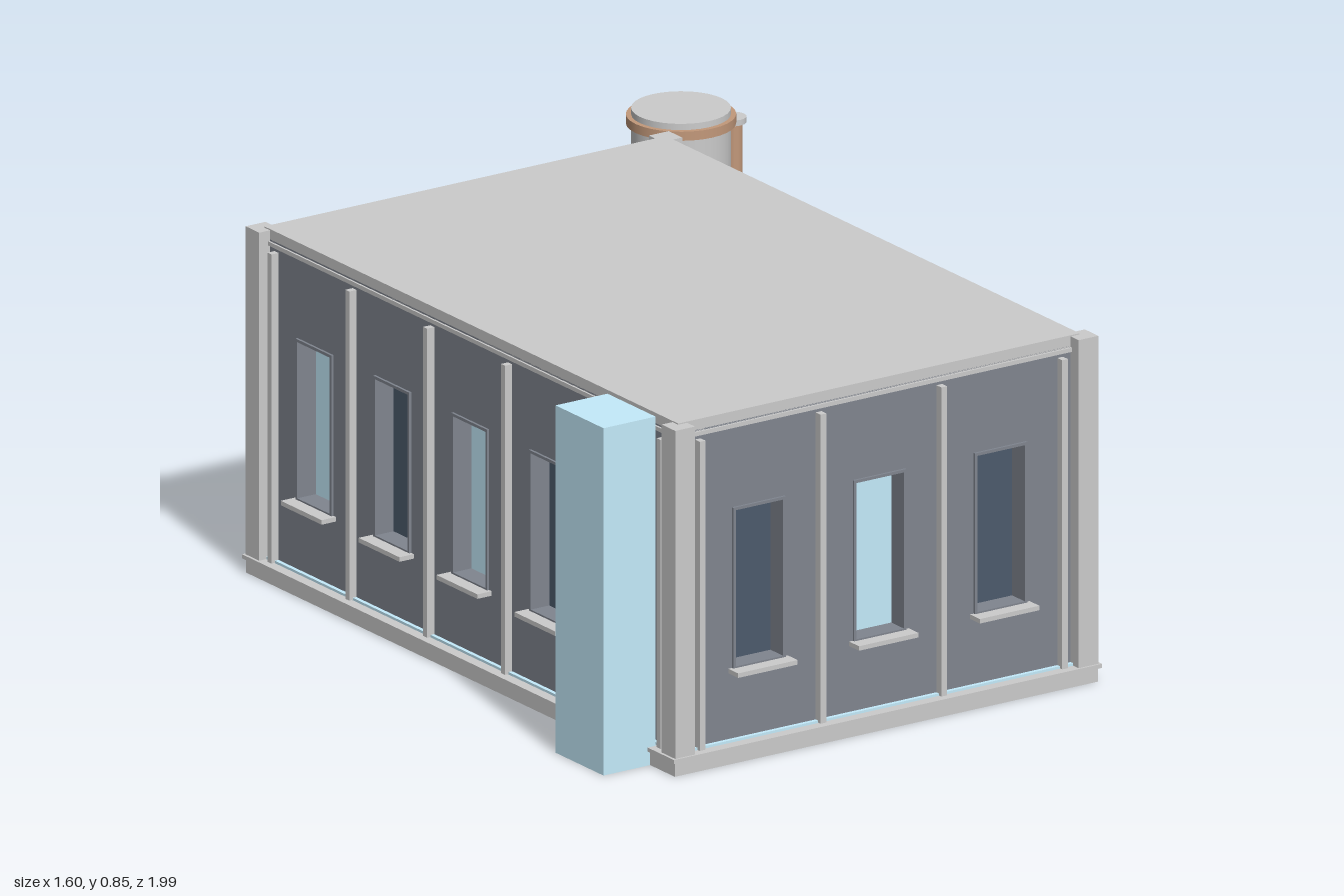
import * as THREE from 'three';

const mat = (color, extra = {}) => new THREE.MeshStandardMaterial({ color, ...extra });
const grey = mat(0xcccccc);
const wallGrey = mat(0x80858f);
const darkGlass = mat(0x4c5b6c);
const paleBlue = mat(0xc4ebfb);
const copper = mat(0xc2987a);

const CX = -0.08, CZ = 0.115;       // centre of the building
const HX = 0.56, HZ = 0.84;         // half sizes to the wall faces
const TOP = 0.845;

function add(parent, name, geo, material, x = 0, y = 0, z = 0) {
  const m = new THREE.Mesh(geo, material);
  m.name = name;
  m.position.set(x, y, z);
  parent.add(m);
  return m;
}

// Box given by its minimum and maximum corners
function block(parent, name, material, a, b) {
  const geo = new THREE.BoxGeometry(b[0] - a[0], b[1] - a[1], b[2] - a[2]);
  return add(parent, name, geo, material, (a[0] + b[0]) / 2, (a[1] + b[1]) / 2, (a[2] + b[2]) / 2);
}

function rect(type, x0, y0, x1, y1) {
  return new type([[x0, y0], [x1, y0], [x1, y1], [x0, y1]].map(p => new THREE.Vector2(...p)));
}

// One wall facing +z with its face at z = 0
function createWall(name, halfWidth, pitch, bays, firstPale) {
  const g = new THREE.Group();
  g.name = name;
  const wy0 = 0.225, wy1 = 0.605, ww = 0.066, depth = 0.05;
  const panel = rect(THREE.Shape, -halfWidth, 0.03, halfWidth, 0.82);

  for (let i = 0; i < bays; i++) {
    const x = (i - (bays - 1) / 2) * pitch;
    panel.holes.push(rect(THREE.Path, x - ww, wy0, x + ww, wy1));

    // window frame, recessed pane and sill
    const frame = rect(THREE.Shape, x - ww - 0.007, wy0 - 0.007, x + ww + 0.007, wy1 + 0.007);
    frame.holes.push(rect(THREE.Path, x - ww, wy0, x + ww, wy1));
    add(g, 'windowFrame', new THREE.ExtrudeGeometry(frame, { depth: 0.006, bevelEnabled: false }), wallGrey);
    const pale = (i % 2 === 0) === firstPale;
    block(g, 'windowPane', pale ? paleBlue : darkGlass,
      [x - ww - 0.005, wy0 - 0.005, -depth - 0.005], [x + ww + 0.005, wy1 + 0.005, -depth + 0.004]);
    block(g, 'windowSill', grey, [x - 0.083, 0.21, -0.01], [x + 0.083, 0.221, 0.04]);
  }
  const geo = new THREE.ExtrudeGeometry(panel, { depth, bevelEnabled: false });
  add(g, 'wallPanel', geo, wallGrey, 0, 0, -depth);

  // upright strips between the bays
  for (let i = 0; i <= bays; i++) {
    const x = (i - bays / 2) * pitch;
    block(g, 'wallStrip', grey, [x - 0.008, 0.045, -0.005], [x + 0.008, 0.797, 0.02]);
  }
  // top rail and pale strip at the foot
  block(g, 'topRailLip', grey, [-halfWidth, 0.806, -0.04], [halfWidth, 0.816, 0.005]);
  block(g, 'footStrip', paleBlue, [-halfWidth, 0.04, -0.02], [halfWidth, 0.05, 0.01]);
  return g;
}

function createBuilding() {
  const g = new THREE.Group();
  g.name = 'building';
  g.position.set(CX, 0, CZ);

  // base plate, ledge and flat roof
  block(g, 'basePlate', grey, [-0.59, 0, -0.87], [0.59, 0.034, 0.87]);
  block(g, 'baseLedge', grey, [-0.597, 0.034, -0.877], [0.597, 0.044, 0.877]);
  block(g, 'roof', grey, [-HX, 0.814, -HZ], [HX, TOP, HZ]);

  // four walls
  for (const s of [1, -1]) {
    const endWall = createWall(s > 0 ? 'frontWall' : 'backWall', HX, 0.337, 3, false);
    endWall.position.z = s * HZ;
    endWall.rotation.y = s > 0 ? 0 : Math.PI;
    const sideWall = createWall(s > 0 ? 'leftWall' : 'rightWall', HZ, 0.316, 5, true);
    sideWall.position.x = s * HX;
    sideWall.rotation.y = s * Math.PI / 2;
    g.add(endWall, sideWall);

    // corner posts
    for (const t of [1, -1]) {
      add(g, 'cornerPost', new THREE.BoxGeometry(0.055, 0.808, 0.055), grey,
        s * (0.59 - 0.0275), 0.438, t * (0.872 - 0.0275));
    }
  }
  return g;
}

// Round tank with copper bands and a copper side pipe
function createTank() {
  const g = new THREE.Group();
  g.name = 'tank';
  g.position.set(0.622, 0, -0.87);
  const cyl = (name, r, y0, y1, m, x = 0, n = 32) =>
    add(g, name, new THREE.CylinderGeometry(r, r, y1 - y0, n), m, x, (y0 + y1) / 2, 0);
  cyl('tankBody', 0.115, 0.002, TOP, grey);
  cyl('bottomBand', 0.127, 0.014, 0.036, copper);
  cyl('topBand', 0.127, 0.808, 0.83, copper);
  cyl('sidePipe', 0.023, 0.055, 0.785, copper, 0.144, 16);
  cyl('sidePipeFlange', 0.032, 0.048, 0.062, grey, 0.144, 16);
  cyl('sidePipeFlange', 0.032, 0.782, 0.796, grey, 0.144, 16);
  return g;
}

// Horizontal pipe with end flanges along the back wall
function createBackPipe() {
  const g = new THREE.Group();
  g.name = 'backPipe';
  g.position.set(CX, 0.38, -0.803);
  const cyl = (name, r, length, x) => {
    add(g, name, new THREE.CylinderGeometry(r, r, length, 20), grey, x).rotation.z = Math.PI / 2;
  };
  cyl('pipe', 0.029, 0.96, 0);
  for (const s of [1, -1]) cyl('pipeFlange', 0.045, 0.025, s * 0.477);
  return g;
}

export function createModel() {
  const model = new THREE.Group();
  model.name = 'buildingModule';
  model.add(createBuilding(), createTank(), createBackPipe());
  // pale blue shaft on the right wall
  block(model, 'sideShaft', paleBlue, [-0.8, 0, 0.69], [-0.655, TOP, 0.885]);
  return model;
}
